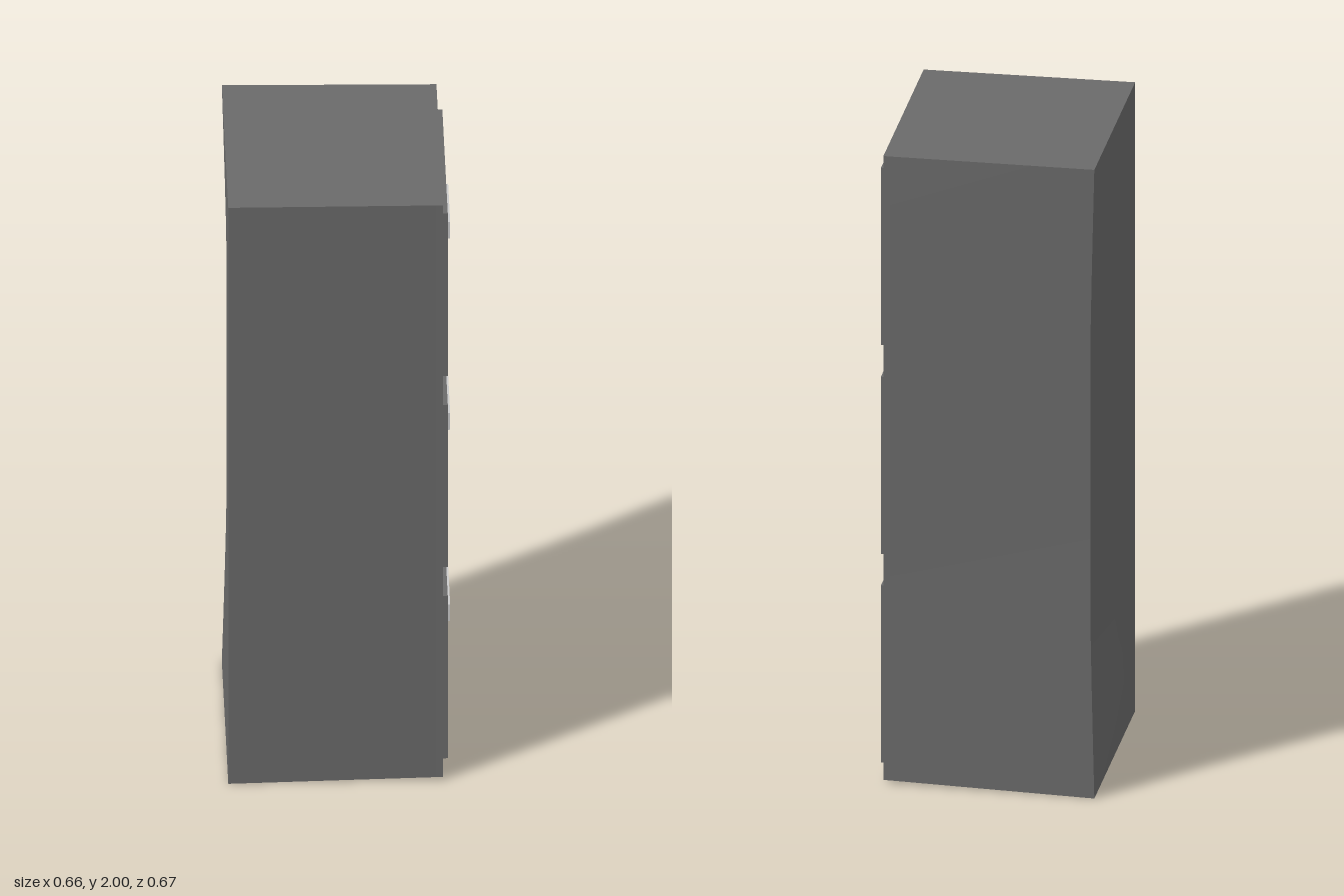
import * as THREE from 'three';

const dark = new THREE.MeshStandardMaterial({ color: 0x6a6a6a });
const light = new THREE.MeshStandardMaterial({ color: 0xcccccc });

const PITCH = 0.664; // height step from drawer to drawer
const FACE = 0.3; // x of the cabinet face
const RECESS = 0.28; // x of the floor behind the openings

function rect(halfZ, y0, y1, Type = THREE.Shape) {
  return new Type([
    new THREE.Vector2(-halfZ, y0), new THREE.Vector2(halfZ, y0),
    new THREE.Vector2(halfZ, y1), new THREE.Vector2(-halfZ, y1),
  ]);
}

// Plate facing +x, with optional holes, between two x positions
function plate(name, shape, x0, x1, material) {
  const geo = new THREE.ExtrudeGeometry(shape, { depth: x1 - x0, bevelEnabled: false });
  geo.rotateY(Math.PI / 2);
  geo.translate(x0, 0, 0);
  const mesh = new THREE.Mesh(geo, material);
  mesh.name = name;
  return mesh;
}

// Cabinet body: slightly larger at the rear, one rear edge gently dented
function body() {
  const geo = new THREE.BoxGeometry(1, 1, 1, 1, 12, 1);
  const p = geo.attributes.position;
  for (let i = 0; i < p.count; i++) {
    const rear = p.getX(i) < 0;
    const t = p.getY(i) + 0.5;
    const side = Math.sign(p.getZ(i));
    const dent = rear && side < 0 ? Math.min(1, 1.25 * Math.sin(Math.PI * t)) : 0;
    p.setXYZ(i,
      (rear ? -0.329 : RECESS) + 0.014 * dent,
      rear ? 2 * t : 0.01 + 1.985 * t,
      side * (rear ? 0.335 : 0.331) + 0.01 * dent);
  }
  geo.computeVertexNormals();
  const mesh = new THREE.Mesh(geo, dark);
  mesh.name = 'cabinetBody';
  return mesh;
}

// Drawer panel with a shallow framed pull
function drawer(y) {
  const g = new THREE.Group();
  g.name = 'drawer';
  g.position.y = y;
  g.add(plate('drawerFront', rect(0.284, 0.045, 0.608), RECESS, 0.316, dark));
  const frame = rect(0.104, 0.407, 0.465);
  frame.holes.push(rect(0.088, 0.42, 0.452, THREE.Path));
  g.add(plate('handleFrame', frame, 0.314, 0.328, light));
  g.add(plate('handlePlate', rect(0.09, 0.418, 0.454), 0.314, 0.32, light));
  return g;
}

export function createModel() {
  const model = new THREE.Group();
  model.name = 'filingCabinet';
  model.add(body());

  // Face frame with three drawer openings
  const face = rect(0.331, 0.01, 1.995);
  for (let i = 0; i < 3; i++) {
    face.holes.push(rect(0.295, 0.04 + i * PITCH, 0.637 + i * PITCH, THREE.Path));
    model.add(drawer(i * PITCH));
  }
  model.add(plate('faceFrame', face, RECESS, FACE, dark));
  return model;
}
